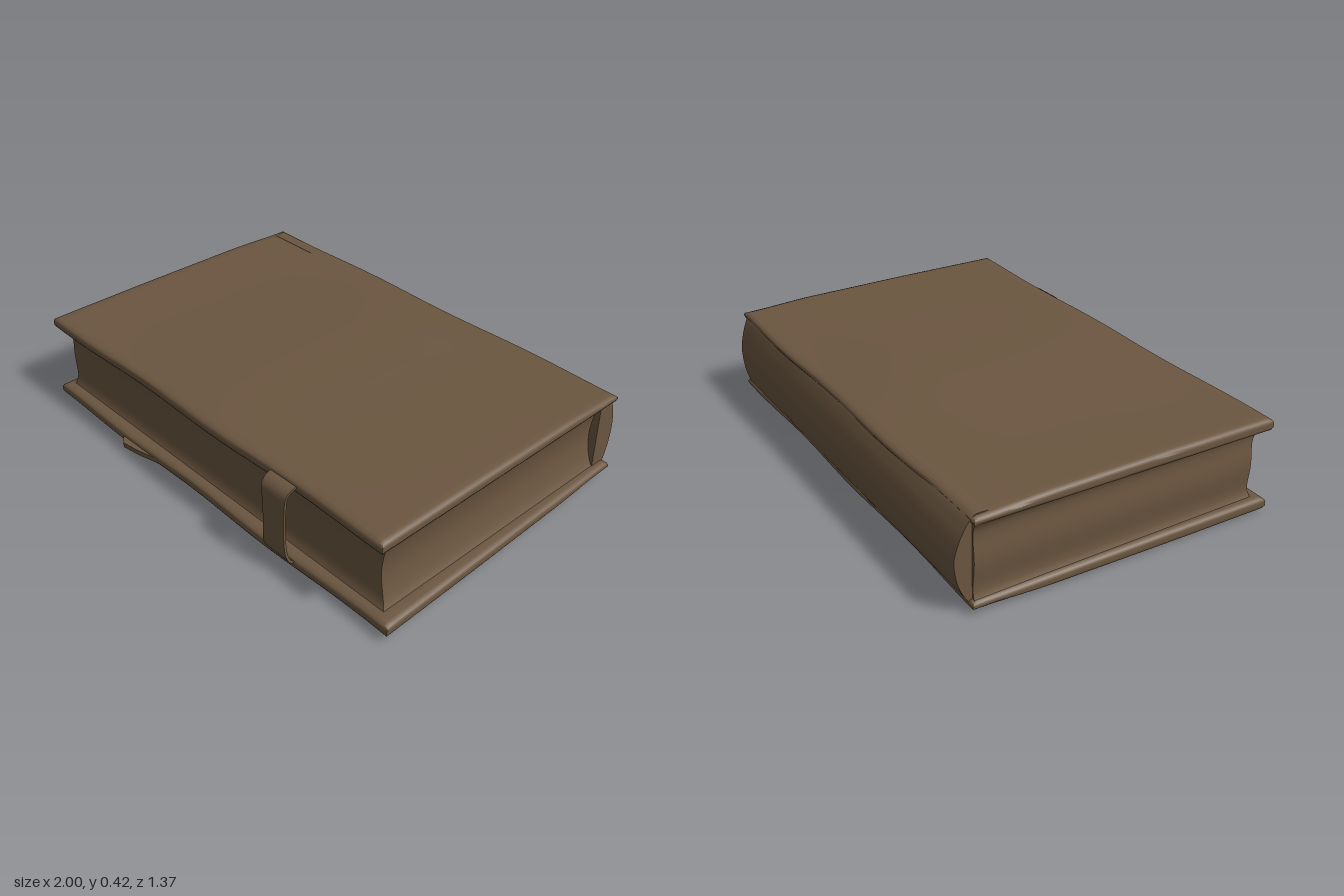
import * as THREE from 'three';
import { mergeVertices, toCreasedNormals } from 'three/addons/utils/BufferGeometryUtils.js';

const leather = new THREE.MeshStandardMaterial({ color: 0x6b5640 });
leather.name = 'brown leather';

// Moves every vertex by a rule, then recomputes smooth normals with creases.
function shape(geometry, rule, crease = 1) {
  const p = geometry.attributes.position;
  const v = new THREE.Vector3();
  for (let i = 0; i < p.count; i++) {
    rule(v.fromBufferAttribute(p, i));
    p.setXYZ(i, v.x, v.y, v.z);
  }
  geometry.deleteAttribute('uv');
  geometry.deleteAttribute('normal');
  return toCreasedNormals(mergeVertices(geometry, 1e-5), crease);
}

function part(name, geometry) {
  const mesh = new THREE.Mesh(geometry, leather);
  mesh.name = name;
  return mesh;
}

const { lerp, smoothstep } = THREE.MathUtils;

// Worn board: dir is +1 for the upper one and -1 for the lower one.
// ends holds x at back left, front left, back right and front right.
function board(dir, innerY, tilt, ends, back, front) {
  const geometry = new THREE.BoxGeometry(2, 2, 2, 30, 4, 24);
  return shape(geometry, (v) => {
    // Crowd the grid towards the rim, where the edge is rounded
    const u = Math.sin(v.x * Math.PI / 2), w = Math.sin(v.z * Math.PI / 2);
    const f = (w + 1) / 2;
    const x = lerp(lerp(ends[0], ends[1], f), lerp(ends[2], ends[3], f), (u + 1) / 2);
    const ragged = 0.005 * Math.sin(7 * x + dir) * Math.abs(w);
    const z = lerp(back, front, f) + ragged;
    const rim = Math.min(1 - Math.abs(u), (1 - Math.abs(w)) * 0.65);
    const t = Math.min(rim / 0.022, 1);
    const round = 0.35 + 0.65 * Math.sqrt(1 - (1 - t) ** 2);
    // The outer face swells in the middle and drops towards the spine
    const swell = 0.014 * Math.exp(-(((x + 0.02) / 0.4) ** 2)) * (1 - w ** 4)
      + 0.006 * smoothstep(z, -0.5, 0.3) - 0.012 * smoothstep(-z, 0.3, 0.62);
    const outward = 0.022 + v.y * dir * 0.022 * round + (v.y * dir > 0 ? swell * v.y * dir : 0);
    v.set(x, innerY + tilt * x + dir * outward, z);
  }, 1.1);
}

// Page block with edges that flare out where they meet the boards
function pageBlock() {
  return shape(new THREE.BoxGeometry(2, 2, 2, 12, 16, 8), (v) => {
    const flare = 0.025 * Math.abs(v.y) ** 5;
    const bow = 0.008 * Math.cos(v.y * Math.PI);
    const x = v.x < 0 ? v.x * (0.955 + flare + bow) : v.x * (0.912 + flare - bow);
    const z = v.z < 0 ? v.z * 0.62 : v.z * (0.582 + flare);
    v.set(x, 0.212 + 0.012 * x + v.y * 0.155, z);
  }, 0.8);
}

// Rounded spine, deeper at one end
function spine() {
  const outline = new THREE.Shape();
  outline.moveTo(0.56, 0.388);
  outline.splineThru([[0.615, 0.384], [0.655, 0.33], [0.68, 0.27], [0.688, 0.22], [0.675, 0.14],
    [0.645, 0.075], [0.612, 0.042], [0.56, 0.036]].map(([s, y]) => new THREE.Vector2(s, y)));
  const geometry = new THREE.ExtrudeGeometry(outline, {
    depth: 1.89, steps: 24, curveSegments: 24, bevelEnabled: false,
  });
  geometry.rotateY(Math.PI / 2).translate(-0.95, 0, 0);
  return shape(geometry, (v) => {
    const deep = lerp(1, 0.62, (v.x + 0.95) / 1.9);
    const groove = 0.004 * Math.exp(-(((v.x - 0.55) / 0.04) ** 2));
    if (v.z < -0.61) v.z = -0.61 + (v.z + 0.61) * deep + groove;
    v.y += 0.008 * v.x;
  }, 0.9);
}

// Closing strap: a thin band swept in front of the page edges
function strap() {
  const path = [[0.6, 0.392], [0.645, 0.392], [0.672, 0.37], [0.678, 0.3], [0.68, 0.2],
    [0.678, 0.11], [0.665, 0.075], [0.64, 0.055], [0.6, 0.05]];
  const curve = new THREE.CatmullRomCurve3(path.map(([z, y]) => new THREE.Vector3(0, y, z)));
  const geometry = new THREE.BoxGeometry(2, 2, 2, 4, 1, 36);
  return shape(geometry, (v) => {
    const t = (v.z + 1) / 2;
    const c = curve.getPointAt(t), d = curve.getTangentAt(t);
    const half = 0.061 + 0.006 * Math.cos(t * Math.PI * 2);
    v.set(0.47 + v.x * half, c.y + v.y * d.z * 0.005, c.z - v.y * d.y * 0.005);
  }, 0.8);
}

// Torn strap end poking out under the lower board
function strapStub() {
  const outline = new THREE.Shape([[-0.55, 0.6], [-0.27, 0.6], [-0.28, 0.64], [-0.4, 0.67],
    [-0.48, 0.682], [-0.53, 0.645]].map(([x, z]) => new THREE.Vector2(x, z)));
  const geometry = new THREE.ExtrudeGeometry(outline, { depth: 0.022, bevelEnabled: false });
  geometry.rotateX(Math.PI / 2).translate(0, 0.045, 0);
  return shape(geometry, () => {}, 0.6);
}

export function createModel() {
  const book = new THREE.Group();
  book.name = 'book';
  book.add(
    part('upperBoard', board(1, 0.358, 0.013, [-0.975, -0.998, 0.965, 0.96], -0.63, 0.636)),
    part('lowerBoard', board(-1, 0.07, 0.01, [-0.98, -1, 0.97, 1], -0.63, 0.648)),
    part('pageBlock', pageBlock()),
    part('spine', spine()),
    part('strap', strap()),
    part('strapStub', strapStub()),
  );
  return book;
}
